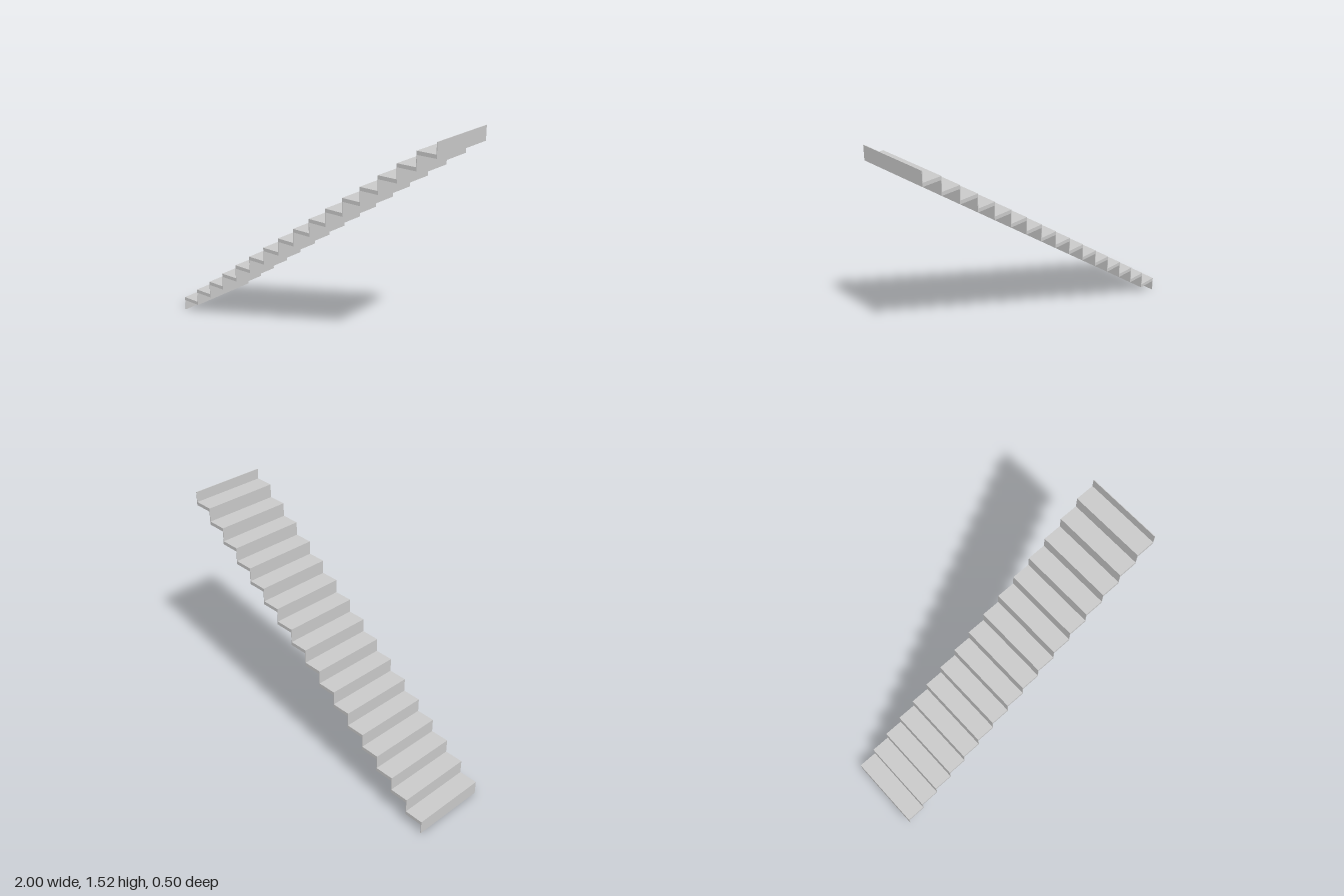
import * as THREE from 'three';

const STEPS = 16;
const WIDTH = 0.498;      // along z
const RISER_H = 0.068;
const RISER_T = 0.004;
const TREAD_T = 0.0227;
const PITCH = (2 - RISER_T) / STEPS;
const RISE = RISER_H + TREAD_T;

export function createModel() {
  const group = new THREE.Group();
  group.name = 'staircase';
  const material = new THREE.MeshStandardMaterial({ color: 0xcccccc, flatShading: true });
  const riserGeo = new THREE.BoxGeometry(RISER_T, RISER_H, WIDTH);
  const treadGeo = new THREE.BoxGeometry(PITCH + RISER_T, TREAD_T, WIDTH);

  const add = (name, geometry, x, y) => {
    const mesh = new THREE.Mesh(geometry, material);
    mesh.name = name;
    mesh.position.set(x, y, 0);
    group.add(mesh);
  };

  // One more riser than treads: the flight starts and ends with a riser
  for (let i = 0; i <= STEPS; i++) {
    const x = -1 + i * PITCH;
    const y = i * RISE;
    add(`riser${i + 1}`, riserGeo, x + RISER_T / 2, y + RISER_H / 2);
    // Each tread rests on its riser and carries the next one at its back edge
    if (i < STEPS) add(`tread${i + 1}`, treadGeo, x + (PITCH + RISER_T) / 2, y + RISER_H + TREAD_T / 2);
  }
  return group;
}
